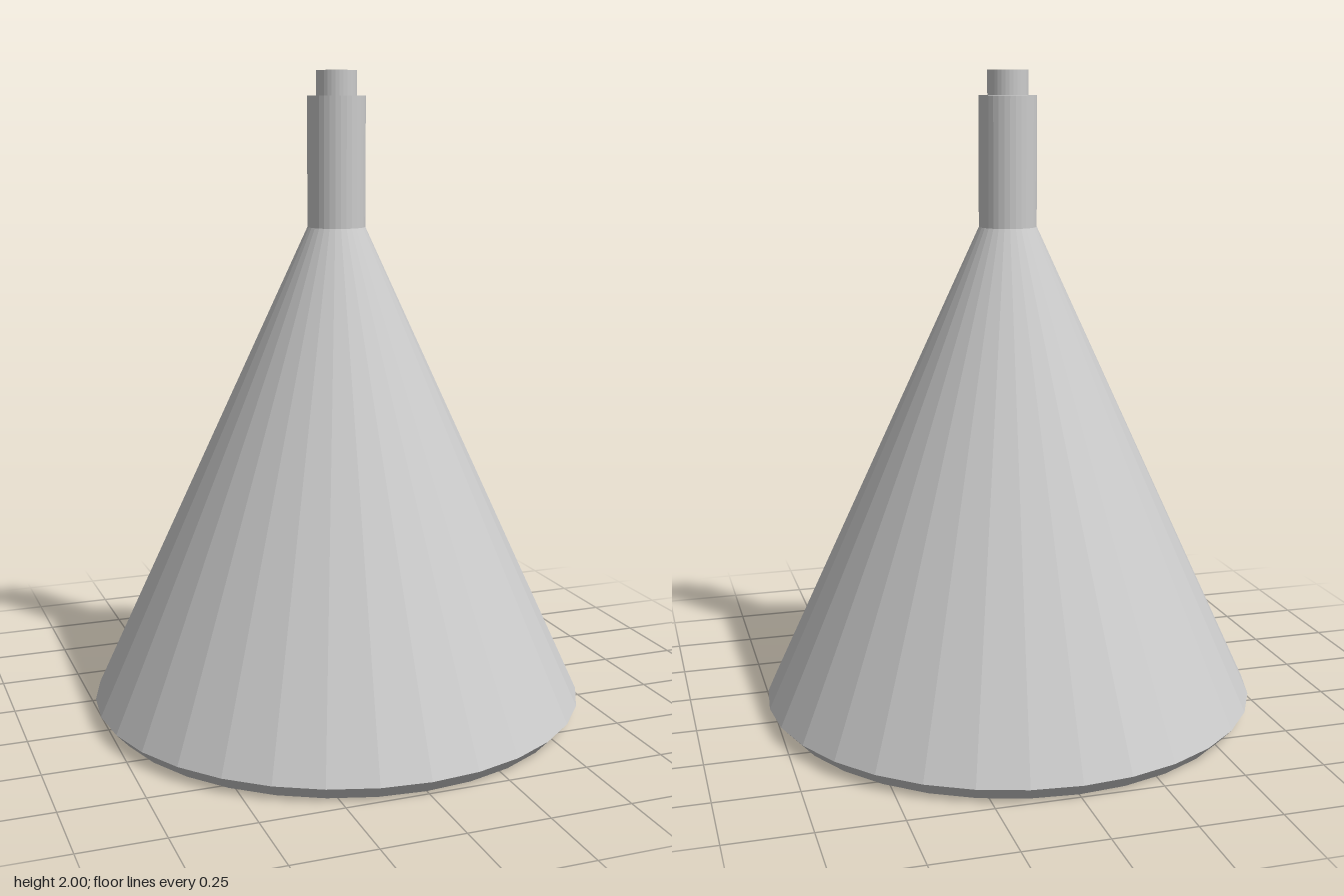
import * as THREE from 'three';

const SIDES = 32;

export function createModel() {
  const group = new THREE.Group();
  const material = new THREE.MeshStandardMaterial({ color: 0xcccccc, flatShading: true });

  // Lathes a faceted part from [radius, height] points, listed bottom to top
  const addTurned = (name, points) => {
    const profile = points.map(([r, y]) => new THREE.Vector2(r, y));
    const mesh = new THREE.Mesh(new THREE.LatheGeometry(profile, SIDES), material);
    mesh.name = name;
    group.add(mesh);
  };

  // Closed underside, chamfered rim and tall cone
  addTurned('coneBody', [[0, 0], [0.732, 0], [0.773, 0.045], [0.089, 1.53]]);

  // Straight neck with a flat shoulder
  addTurned('neck', [[0.089, 1.53], [0.089, 1.925], [0.062, 1.925]]);

  // Narrow capped tip
  addTurned('tip', [[0.062, 1.925], [0.062, 2], [0, 2]]);

  return group;
}
